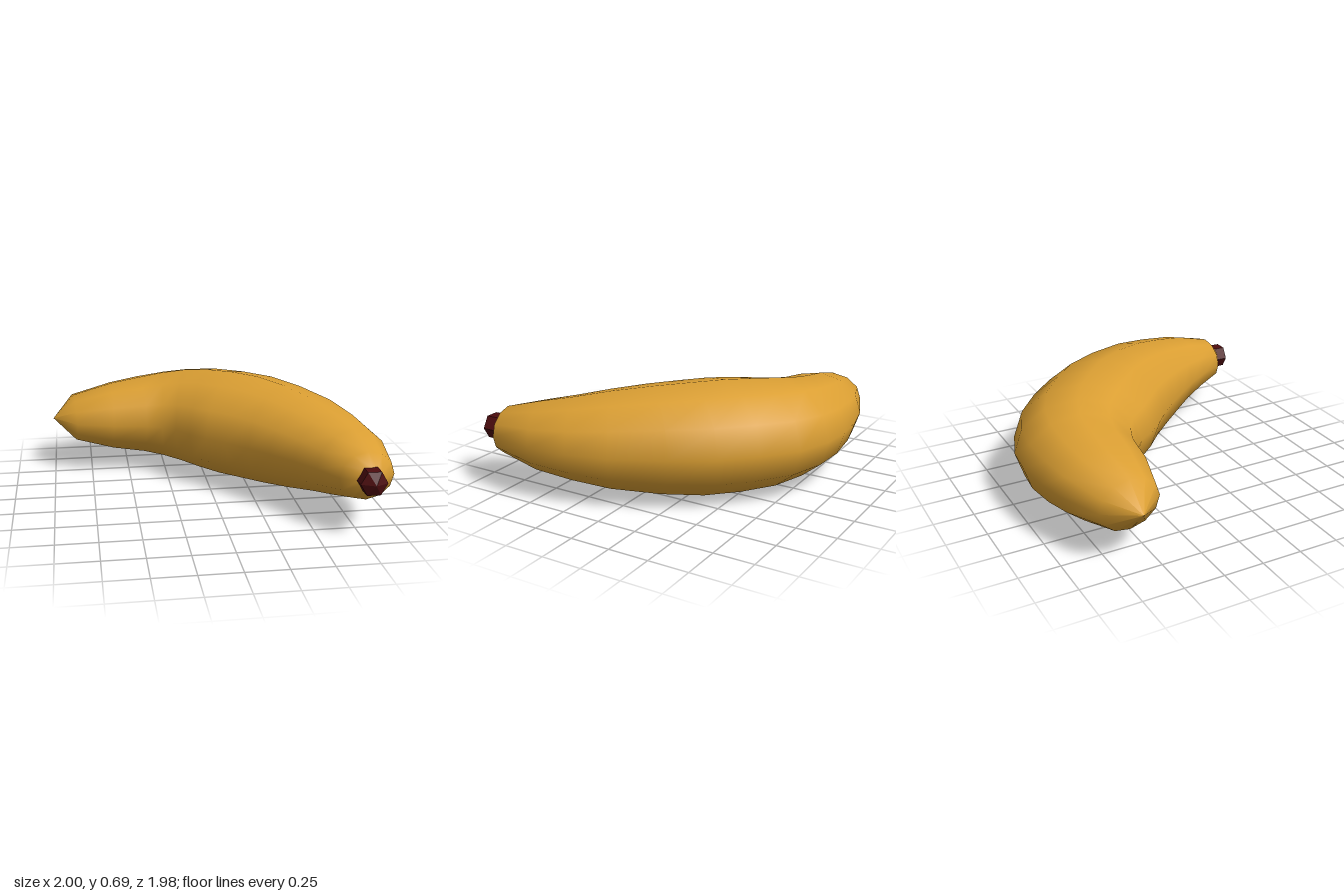
import * as THREE from 'three';

const MID_Y = 0.345;
const SIDES = 12;

// Cross-sections along the bend: outer x, outer z, inner x, inner z, half height
const SECTIONS = [
  [-1.0, -0.61, -1.0, -0.61, 0],
  [-0.88, -0.82, -0.84, -0.43, 0.155],
  [-0.6, -0.93, -0.6, -0.355, 0.225],
  [-0.42, -0.97, -0.38, -0.325, 0.26],
  [-0.2, -0.99, -0.28, -0.28, 0.29],
  [0.0, -0.97, -0.2, -0.21, 0.315],
  [0.22, -0.89, -0.12, -0.1, 0.335],
  [0.42, -0.73, -0.03, 0.0, 0.345],
  [0.6, -0.55, 0.08, 0.1, 0.343],
  [0.75, -0.31, 0.2, 0.23, 0.327],
  [0.9, 0.0, 0.31, 0.36, 0.295],
  [0.97, 0.25, 0.43, 0.51, 0.252],
  [1.0, 0.5, 0.53, 0.66, 0.21],
  [0.955, 0.8, 0.62, 0.83, 0.145],
  [0.87, 0.87, 0.72, 0.885, 0.07],
  [0.79, 0.89, 0.79, 0.89, 0],
];

// Elliptical rings joined into a smooth closed skin
function fruitGeometry() {
  const positions = [];
  const index = [];
  SECTIONS.forEach(([ox, oz, ix, iz, h], i) => {
    const cx = (ox + ix) / 2;
    const cz = (oz + iz) / 2;
    for (let j = 0; j < SIDES; j++) {
      const a = (j / SIDES) * Math.PI * 2;
      const c = Math.cos(a);
      positions.push(cx + (ox - cx) * c, MID_Y + h * Math.sin(a), cz + (oz - cz) * c);
      if (i === SECTIONS.length - 1) continue;
      const p = i * SIDES + j;
      const q = i * SIDES + ((j + 1) % SIDES);
      // The first and last rings are single points, so they need one triangle per side
      if (i > 0) index.push(p, q, p + SIDES);
      if (i < SECTIONS.length - 2) index.push(q, q + SIDES, p + SIDES);
    }
  });
  const geometry = new THREE.BufferGeometry();
  geometry.setAttribute('position', new THREE.Float32BufferAttribute(positions, 3));
  geometry.setIndex(index);
  geometry.computeVertexNormals();
  return geometry;
}

// Six-sided stub with a shallow pointed end, facing +z
function stemGeometry() {
  const profile = [[0.0, -0.06], [0.082, -0.06], [0.08, 0.04], [0, 0.08]];
  const geometry = new THREE.LatheGeometry(profile.map(([r, y]) => new THREE.Vector2(r, y)), 6);
  geometry.rotateY(Math.PI / 6); // flat sides up and down
  geometry.rotateX(Math.PI / 2);
  return geometry;
}

export function createModel() {
  const skin = new THREE.MeshStandardMaterial({ color: 0xdb9f33 });
  skin.name = 'yellowSkin';
  const dark = new THREE.MeshStandardMaterial({ color: 0x4d0d0f, flatShading: true });
  dark.name = 'darkStem';

  const group = new THREE.Group();
  group.name = 'banana';

  const fruit = new THREE.Mesh(fruitGeometry(), skin);
  fruit.name = 'fruit';

  const stem = new THREE.Mesh(stemGeometry(), dark);
  stem.name = 'stem';
  stem.rotation.z = 0;
  stem.position.set(0.79, MID_Y, 0.91);

  group.add(fruit, stem);
  return group;
}
